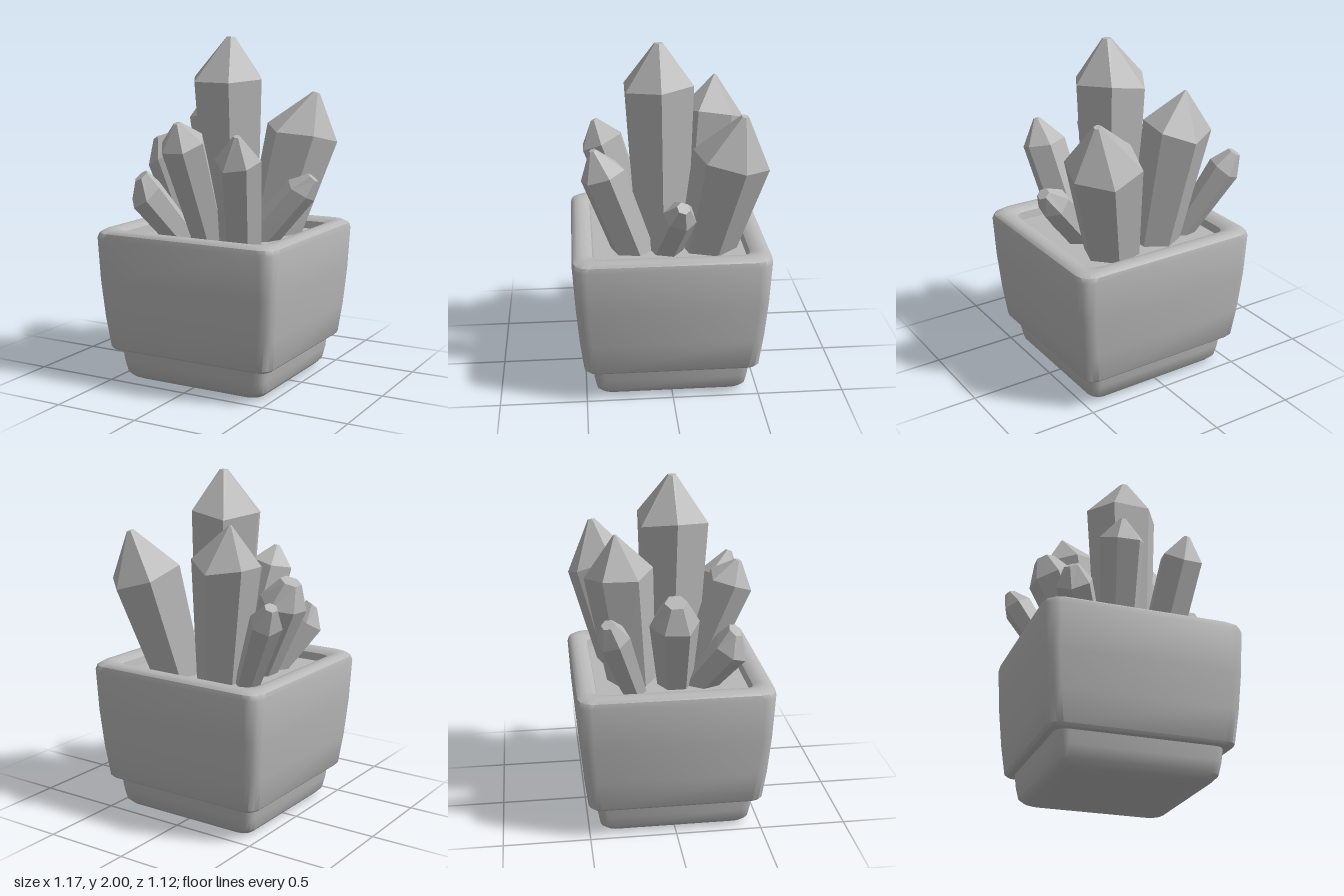
import * as THREE from 'three';
import { toCreasedNormals } from 'three/addons/utils/BufferGeometryUtils.js';

const V = (x, y, z) => new THREE.Vector3(x, y, z);

// Joins rings of points (counter-clockwise seen from above) into a closed skin;
// the first and last rings are closed with fans.
function loft(rings) {
  const n = rings[0].length, pos = [];
  const tri = (...pts) => pts.forEach(p => pos.push(p.x, p.y, p.z));
  const centre = ring => ring.reduce((s, p) => s.add(p), V(0, 0, 0)).divideScalar(n);
  const first = rings[0], last = rings[rings.length - 1];
  const c0 = centre(first), c1 = centre(last);
  for (let i = 0; i < n; i++) {
    const j = (i + 1) % n;
    tri(first[j], first[i], c0);
    for (let k = 0; k < rings.length - 1; k++) {
      const a = rings[k], b = rings[k + 1];
      tri(a[i], a[j], b[j]);
      tri(a[i], b[j], b[i]);
    }
    tri(last[i], last[j], c1);
  }
  const geo = new THREE.BufferGeometry();
  geo.setAttribute('position', new THREE.Float32BufferAttribute(pos, 3));
  geo.computeVertexNormals();
  return geo;
}

// Rounded rectangle ring at height y
function squareRing(y, hx, r, cx = 0.005, cz = 0.003) {
  const hz = hx * 0.965, ring = [];
  for (let k = 0; k < 4; k++) {
    const sx = k === 0 || k === 3 ? 1 : -1, sz = k < 2 ? -1 : 1;
    for (let j = 0; j <= 3; j++) {
      const a = (k + j / 3) * Math.PI / 2;
      ring.push(V(cx + sx * (hx - r) + r * Math.cos(a), y, cz + sz * (hz - r) - r * Math.sin(a)));
    }
  }
  return ring;
}

// Six-sided crystal flaring from base to shoulder, then closing to a small tip
function crystalGeometry({ base, shoulder, tip, r0, r1, blunt, turn }) {
  const b = V(...base), s = V(...shoulder), t = V(...tip);
  const d = s.clone().sub(b).normalize();
  const u = V(1, 0, 0).addScaledVector(d, -d.x).normalize();
  const w = d.clone().cross(u);
  const ring = (c, r, wave) => Array.from({ length: 6 }, (_, i) => {
    const a = i * Math.PI / 3 + turn;
    return c.clone().addScaledVector(u, r * Math.cos(a)).addScaledVector(w, r * Math.sin(a))
      .addScaledVector(d, wave * Math.sin(i * 2.4 + turn * 5));
  });
  return loft([ring(b, r0, 0), ring(s, r1, r1 * 0.1), ring(t, r1 * blunt, 0)]);
}

const crystals = {
  centreCrystal: { base: [0.05, 0.8, 0.03], shoulder: [0.03, 1.75, 0.045], tip: [0.05, 1.995, 0.045], r0: 0.17, r1: 0.22, blunt: 0.12, turn: 0 },
  backLeftCrystal: { base: [0.19, 0.8, -0.22], shoulder: [0.32, 1.41, -0.34], tip: [0.39, 1.665, -0.395], r0: 0.16, r1: 0.22, blunt: 0.1, turn: 0.25 },
  backRightCrystal: { base: [-0.11, 0.8, -0.21], shoulder: [-0.2, 1.52, -0.29], tip: [-0.24, 1.735, -0.31], r0: 0.14, r1: 0.195, blunt: 0.04, turn: 0.5 },
  rearSideCrystal: { base: [-0.28, 0.8, -0.21], shoulder: [-0.5, 1.23, -0.35], tip: [-0.55, 1.33, -0.38], r0: 0.07, r1: 0.095, blunt: 0.4, turn: 0.2 },
  rightSideCrystal: { base: [-0.2, 0.8, 0.03], shoulder: [-0.39, 1.27, 0.0], tip: [-0.44, 1.4, 0.0], r0: 0.1, r1: 0.14, blunt: 0.45, turn: 0.5 },
  frontRightCrystal: { base: [-0.2, 0.8, 0.15], shoulder: [-0.35, 1.09, 0.33], tip: [-0.375, 1.2, 0.345], r0: 0.09, r1: 0.11, blunt: 0.42, turn: 0.1 },
  frontCrystal: { base: [-0.03, 0.8, 0.15], shoulder: [-0.08, 1.4, 0.37], tip: [-0.09, 1.52, 0.41], r0: 0.1, r1: 0.135, blunt: 0.15, turn: 0 },
  frontLeftCrystal: { base: [0.2, 0.8, 0.2], shoulder: [0.28, 1.32, 0.38], tip: [0.3, 1.465, 0.43], r0: 0.12, r1: 0.13, blunt: 0.15, turn: 0.3 },
  leftSideCrystal: { base: [0.2, 0.8, 0.03], shoulder: [0.46, 1.12, -0.04], tip: [0.535, 1.2, -0.05], r0: 0.1, r1: 0.095, blunt: 0.4, turn: 0.4 },
};

export function createModel() {
  const group = new THREE.Group();
  const grey = new THREE.MeshStandardMaterial({ color: 0xb8b8b8 });
  grey.name = 'stoneGrey';
  const add = (name, geo, parent = group) => {
    const mesh = new THREE.Mesh(geo, grey);
    mesh.name = name;
    parent.add(mesh);
  };

  // Foot: narrow plinth with a rounded bottom edge
  const foot = [[0, 0.4, 0.06], [0.012, 0.425, 0.06], [0.04, 0.452, 0.06], [0.11, 0.466, 0.06], [0.2, 0.475, 0.06]];
  add('foot', toCreasedNormals(loft(foot.map(p => squareRing(...p))), 0.7));

  // Pot: flared wall, rolled rim, inner wall and soil bed
  const pot = [
    [0.185, 0.51, 0.06], [0.2, 0.526, 0.07], [0.38, 0.548, 0.07], [0.6, 0.566, 0.07], [0.85, 0.58, 0.08],
    [0.88, 0.574, 0.09], [0.897, 0.55, 0.09], [0.9, 0.52, 0.08], [0.893, 0.485, 0.07], [0.875, 0.46, 0.06],
    [0.83, 0.45, 0.05],
  ];
  add('pot', toCreasedNormals(loft(pot.map(p => squareRing(...p))), 0.7));

  // Crystal cluster
  const cluster = new THREE.Group();
  cluster.name = 'crystals';
  group.add(cluster);
  for (const [name, spec] of Object.entries(crystals)) add(name, crystalGeometry(spec), cluster);
  return group;
}
